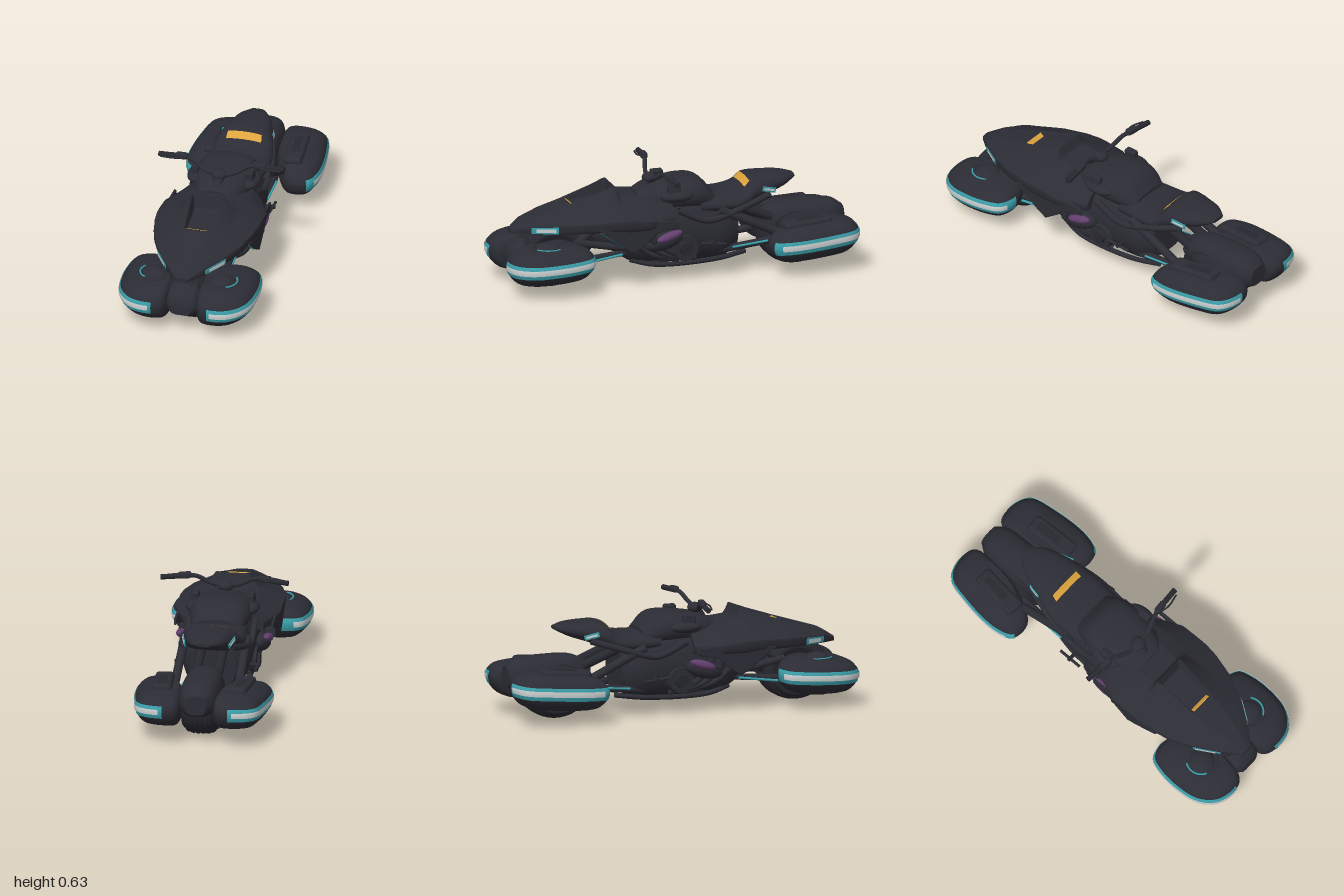
import * as THREE from 'three';
import { toCreasedNormals } from 'three/addons/utils/BufferGeometryUtils.js';
import { RoundedBoxGeometry } from 'three/addons/geometries/RoundedBoxGeometry.js';

const paint = (name, color) => Object.assign(new THREE.MeshStandardMaterial({ color, side: THREE.DoubleSide }), { name });
const V = (x, y, z) => new THREE.Vector3(x, y, z);

// Resample control rings into a fine grid of rows and columns
function makeGrid(sections, ringSub, rowSub, tension) {
  const rings = sections.map((pts) => {
    const curve = new THREE.CatmullRomCurve3(pts, true, 'catmullrom', tension);
    const n = pts.length * ringSub;
    return Array.from({ length: n }, (_, i) => curve.getPoint(i / n));
  });
  const cols = rings[0].map((_, j) => new THREE.CatmullRomCurve3(rings.map((r) => r[j]), false, 'catmullrom', tension));
  const n = (sections.length - 1) * rowSub;
  const rows = Array.from({ length: n + 1 }, (_, i) => cols.map((c) => c.getPoint(i / n)));
  return { rows, flip: false };
}

function gridGeometry(rows, flip, closed) {
  const C = rows[0].length, pts = rows.flat(), idx = [];
  const tri = (a, b, c) => (flip ? idx.push(a, c, b) : idx.push(a, b, c));
  for (let i = 0; i < rows.length - 1; i++)
    for (let j = 0; j < (closed ? C : C - 1); j++) {
      const k = (j + 1) % C, a = i * C + j, b = i * C + k;
      tri(a, b, a + C);
      tri(b, b + C, a + C);
    }
  if (closed) {
    for (const r of [0, rows.length - 1]) {
      const mid = V(0, 0, 0);
      rows[r].forEach((p) => mid.addScaledVector(p, 1 / C));
      const m = pts.push(mid) - 1;
      for (let j = 0; j < C; j++) {
        const a = r * C + j, b = r * C + (j + 1) % C;
        r ? tri(a, b, m) : tri(b, a, m);
      }
    }
  }
  const g = new THREE.BufferGeometry().setFromPoints(pts);
  g.setIndex(idx);
  g.computeVertexNormals();
  return g;
}

// Closed solid; the winding is turned so faces point outward
function solid(grid) {
  let g = gridGeometry(grid.rows, false, true), vol = 0;
  const p = g.attributes.position, id = g.index.array, t = [V(0, 0, 0), V(0, 0, 0), V(0, 0, 0)];
  for (let i = 0; i < id.length; i += 3) {
    t.forEach((v, k) => v.fromBufferAttribute(p, id[i + k]));
    vol += t[0].dot(t[1].clone().cross(t[2]));
  }
  grid.flip = vol < 0;
  if (grid.flip) g = gridGeometry(grid.rows, true, true);
  return toCreasedNormals(g, 0.65);
}

// Thin painted face lifted off part of a grid
function patch(grid, r0, r1, c0, c1, lift) {
  const g = gridGeometry(grid.rows.slice(r0, r1 + 1).map((r) => r.slice(c0, c1 + 1)), grid.flip, false);
  const p = g.attributes.position, n = g.attributes.normal;
  for (let i = 0; i < p.count; i++)
    p.setXYZ(i, p.getX(i) + n.getX(i) * lift, p.getY(i) + n.getY(i) * lift, p.getZ(i) + n.getZ(i) * lift);
  return g;
}

// Symmetric ring at depth z from a half profile, bottom centre to top centre
const ring = (z, half) => [...half, ...half.slice(1, -1).reverse().map(([x, y]) => [-x, y])].map(([x, y]) => V(x, y, z));
const roundRing = ([z, w, lo, hi]) => {
  const h = hi - lo;
  return ring(z, [[0, lo], [w * 0.7, lo + h * 0.06], [w, lo + h * 0.45], [w * 0.75, lo + h * 0.88], [0, hi]]);
};

export function createModel() {
  const model = new THREE.Group();
  model.name = 'hoverMotorcycle';
  const body = paint('charcoal body', 0x2c2c35), dark = paint('dark rubber', 0x27272f);
  const teal = paint('teal light', 0x3a9faa), white = paint('white light', 0xcdd3d3);
  const amber = paint('amber strip', 0xdda43c), purple = paint('purple cover', 0x633f6e);

  const add = (name, geo, mat, pos = [0, 0, 0], rot = [0, 0, 0], scale = [1, 1, 1]) => {
    const m = new THREE.Mesh(geo, mat);
    m.name = name;
    m.position.set(...pos);
    m.rotation.set(...rot);
    m.scale.set(...scale);
    model.add(m);
    return m;
  };
  const box = (name, size, mat, pos, rot, r = 0.01) => add(name, new RoundedBoxGeometry(...size, 3, r), mat, pos, rot);
  const ball = (name, mat, pos, scale, rot) => add(name, new THREE.SphereGeometry(1, 26, 14), mat, pos, rot, scale);
  const tube = (name, pts, r, mat) =>
    add(name, new THREE.TubeGeometry(new THREE.CatmullRomCurve3(pts.map((p) => V(...p))), 24, r, 10), mat);
  const rod = (name, a, b, r, mat) => {
    const from = V(...a), d = V(...b).sub(from);
    const m = add(name, new THREE.CylinderGeometry(r, r, d.length(), 14), mat, from.clone().addScaledVector(d, 0.5).toArray());
    m.quaternion.setFromUnitVectors(V(0, 1, 0), d.normalize());
  };
  const loft = (name, rows, mat) => {
    const grid = makeGrid(rows.map(roundRing), 4, 4, 0.5);
    add(name, solid(grid), mat);
    return grid;
  };

  // Front cowl with sunken intake: z, width, brow y, bottom y, shoulder x and y, ridge x and y, intake depth
  const cowl = makeGrid([
    [0.93, 0.03, 0.332, 0.315, 0.02, 0.337, 0.01, 0.34, 0], [0.85, 0.1, 0.362, 0.322, 0.07, 0.377, 0.035, 0.39, 0],
    [0.72, 0.185, 0.378, 0.33, 0.14, 0.4, 0.06, 0.428, 0], [0.604, 0.239, 0.387, 0.337, 0.165, 0.423, 0.073, 0.463, 0],
    [0.577, 0.248, 0.39, 0.338, 0.165, 0.428, 0.075, 0.472, 0.03], [0.45, 0.278, 0.398, 0.342, 0.165, 0.45, 0.082, 0.513, 0.06],
    [0.37, 0.287, 0.4, 0.34, 0.155, 0.467, 0.088, 0.543, 0.08], [0.355, 0.287, 0.4, 0.34, 0.155, 0.467, 0.088, 0.545, 0],
    [0.33, 0.287, 0.4, 0.335, 0.16, 0.46, 0.09, 0.49, 0], [0.2, 0.285, 0.385, 0.335, 0.18, 0.45, 0.1, 0.475, 0],
    [0.05, 0.22, 0.375, 0.335, 0.17, 0.43, 0.1, 0.46, 0],
  ].map(([z, w, ye, yb, mx, my, tx, ty, d]) =>
    ring(z, [[0, yb], [w * 0.96, yb], [w, ye], [mx, my], [tx, ty], [tx * 0.85, ty - d], [0, ty - d]])), 6, 6, 0.12);
  add('frontCowl', solid(cowl), body);
  for (const [c, d] of [[6, 1], [66, -1]]) {
    const cols = (a, b) => (d > 0 ? [c + a, c + b] : [c - b, c - a]);
    add('headlightRim', patch(cowl, 7, 13, ...cols(1, 5), 0.003), teal);
    add('headlightLens', patch(cowl, 8, 12, ...cols(2, 4), 0.006), white);
  }
  box('intakeStrip', [0.12, 0.006, 0.028], amber, [0, 0.4515, 0.588], [-0.67, 0, 0], 0.002);

  // Main hull, tank, seat tail and centre fenders: z, half width, bottom, top
  loft('engineHull', [[0.52, 0.08, 0.24, 0.34], [0.36, 0.16, 0.17, 0.4], [0.25, 0.19, 0.105, 0.45], [0.1, 0.19, 0.1, 0.47],
    [-0.1, 0.185, 0.09, 0.46], [-0.25, 0.175, 0.09, 0.42], [-0.34, 0.13, 0.13, 0.38]], body);
  loft('tank', [[0.22, 0.1, 0.38, 0.49], [0.14, 0.14, 0.37, 0.525], [0.04, 0.165, 0.38, 0.543], [-0.06, 0.17, 0.38, 0.552],
    [-0.14, 0.155, 0.37, 0.54], [-0.21, 0.13, 0.36, 0.47]], body);
  const seat = loft('seatTail', [[-0.12, 0.16, 0.34, 0.46], [-0.22, 0.17, 0.35, 0.45], [-0.32, 0.175, 0.35, 0.455], [-0.385, 0.165, 0.36, 0.48],
    [-0.43, 0.155, 0.38, 0.52], [-0.52, 0.13, 0.415, 0.525], [-0.62, 0.095, 0.45, 0.52], [-0.69, 0.04, 0.485, 0.505]], body);
  add('seatStrip', patch(seat, 12, 15, 13, 19, 0.004), amber);
  loft('frontFender', [[0.95, 0.06, 0.12, 0.2], [0.91, 0.09, 0.11, 0.25], [0.75, 0.095, 0.12, 0.32], [0.58, 0.09, 0.14, 0.33],
    [0.48, 0.07, 0.18, 0.32]], body);
  loft('rearFender', [[-0.5, 0.07, 0.2, 0.3], [-0.6, 0.1, 0.16, 0.345], [-0.75, 0.11, 0.15, 0.35], [-0.9, 0.1, 0.16, 0.34],
    [-0.97, 0.06, 0.19, 0.3]], body);

  // Ribbed wheels
  const tread = [[0.07, -0.07], [0.14, -0.095]];
  for (let i = 0; i <= 28; i++) {
    const u = i / 14 - 1;
    tread.push([0.2 - 0.045 * u ** 4 - (i % 4 === 2 ? 0.01 : 0), u * 0.098]);
  }
  tread.push([0.14, 0.095], [0.07, 0.07]);
  const wheelGeo = new THREE.LatheGeometry(tread.map(([r, y]) => new THREE.Vector2(r, y)), 48);
  for (const [name, z, y] of [['frontWheel', 0.7, 0.178], ['rearWheel', -0.69, 0.17]]) {
    add(name, wheelGeo, dark, [0, y, z], [0, 0, Math.PI / 2], [0.85, 1, 1]);
    add(name + 'Hub', new THREE.CylinderGeometry(0.075, 0.075, 0.17, 24), body, [0, y, z], [0, 0, Math.PI / 2]);
  }

  // Pods: plan outline swept through a rounded vertical profile, with upright inner walls
  const profile = [[0.064, 0.64], [0.08, 0.8], [0.118, 0.94], [0.162, 1], [0.198, 0.97], [0.23, 0.85], [0.252, 0.6]];
  const frontPlan = [[0.24, 0.53], [0.335, 0.552], [0.368, 0.62], [0.38, 0.74], [0.36, 0.88], [0.29, 0.97], [0.19, 0.998],
    [0.1, 0.97], [0.075, 0.85], [0.08, 0.68], [0.13, 0.57]];
  const rearPlan = [[0.325, -0.485], [0.362, -0.55], [0.372, -0.66], [0.355, -0.82], [0.32, -0.95], [0.22, -0.997],
    [0.11, -0.98], [0.09, -0.86], [0.105, -0.7], [0.165, -0.55], [0.23, -0.48]];
  function pod(name, plan, s, cx, cz, dy, end) {
    const grid = makeGrid(profile.map(([y, k]) => plan.map(([x, z]) => {
      const pz = cz + (z - cz) * k;
      return V(s * (cx + (x - cx) * k), y + dy - (pz - cz) * 0.06, pz);
    })), 6, 4, 0.5);
    add(name, solid(grid), body);
    add(name + 'Glow', patch(grid, 9, 16, 0, end, 0.003), teal);
    add(name + 'Light', patch(grid, 11, 14, 4, end - 1, 0.006), white);
  }
  for (const s of [-1, 1]) {
    pod('frontPod', frontPlan, s, 0.12, 0.77, 0.014, 38);
    pod('rearPod', rearPlan, s, 0.16, -0.74, 0.026, 32);
    // Hub dome, ring and lower cap on the front pod
    ball('podDome', body, [s * 0.19, 0.25, 0.77], [0.075, 0.044, 0.075]);
    add('podRing', new THREE.TorusGeometry(0.085, 0.009, 8, 36), body, [s * 0.19, 0.26, 0.77], [Math.PI / 2, 0, 0]);
    add('podRingGlow', new THREE.TorusGeometry(0.082, 0.005, 6, 24, 1.7), teal, [s * 0.19, 0.268, 0.77],
      [Math.PI / 2, 0, s > 0 ? -0.6 : 2.04]);
    add('podUnderCap', new THREE.CylinderGeometry(0.075, 0.06, 0.02, 28), dark, [s * 0.2, 0.078, 0.77]);
    // Raised rear pod deck
    box('rearPodDeck', [0.105, 0.05, 0.28], body, [s * 0.215, 0.275, -0.7], [0.06, s * 0.08, 0], 0.022);
    add('rearPodInset', new THREE.BoxGeometry(0.045, 0.008, 0.15), dark, [s * 0.215, 0.298, -0.72], [0.06, s * 0.08, 0]);
    // Tail lights
    box('tailLight', [0.008, 0.028, 0.085], teal, [s * 0.132, 0.457, -0.515], [-0.25, s * 0.25, 0], 0.002);
    box('tailLightCore', [0.008, 0.012, 0.065], white, [s * 0.135, 0.457, -0.515], [-0.25, s * 0.25, 0], 0.002);

    // Side fairing plate with lit inner edge
    const fairing = new THREE.Shape([[-0.5, 0.355], [-0.36, 0.25], [-0.3, 0.215], [-0.22, 0.27], [-0.17, 0.315], [-0.05, 0.34], [-0.06, 0.37], [-0.3, 0.39]]
      .map((p) => new THREE.Vector2(...p)));
    add('sideFairing', new THREE.ExtrudeGeometry(fairing, { depth: 0.008, bevelSize: 0.004, bevelThickness: 0.003, bevelSegments: 1 }),
      body, [s * 0.267 - 0.004, 0, 0], [0, Math.PI / 2, 0]);
    tube('fairingGlow', [[s * 0.256, 0.345, 0.485], [s * 0.257, 0.3, 0.425], [s * 0.254, 0.25, 0.36]], 0.008, teal);
    ball('sideCover', purple, [s * 0.24, 0.278, 0.09], [0.026, 0.024, 0.076], [0.3, 0, 0]);
    ball('sideHousing', body, [s * 0.2, 0.245, 0.11], [0.05, 0.05, 0.11], [0.25, 0, 0]);
    box('coverBracket', [0.06, 0.056, 0.03], body, [s * 0.238, 0.275, 0.185], [0.2, 0, 0], 0.012);

    // Engine covers, pipes and frame rails
    add('engineCover', new THREE.CylinderGeometry(0.07, 0.08, 0.04, 28), body, [s * 0.18, 0.19, -0.02], [0, 0, -s * Math.PI / 2]);
    add('engineCap', new THREE.CylinderGeometry(0.035, 0.04, 0.02, 20), dark, [s * 0.205, 0.19, -0.02], [0, 0, -s * Math.PI / 2]);
    for (let i = 0; i < 3; i++)
      tube('exhaustPipe', [[s * 0.13, 0.38, 0.3 - i * 0.06], [s * 0.19, 0.3, 0.3 - i * 0.07], [s * 0.18, 0.18, 0.2 - i * 0.06],
        [s * 0.16, 0.12, 0.02 - i * 0.05]], 0.016, body);
    tube('lowerRail', [[s * 0.12, 0.13, 0.28], [s * 0.15, 0.1, 0.15], [s * 0.15, 0.1, -0.2], [s * 0.12, 0.12, -0.38]], 0.014, body);
    tube('seatRail', [[s * 0.18, 0.4, 0.02], [s * 0.18, 0.33, -0.15], [s * 0.175, 0.37, -0.32], [s * 0.13, 0.43, -0.52]], 0.018, body);
    // Suspension arms
    rod('frontArm', [s * 0.13, 0.18, 0.28], [s * 0.13, 0.15, 0.6], 0.018, body);
    rod('frontArmGlow', [s * 0.147, 0.172, 0.33], [s * 0.15, 0.14, 0.56], 0.007, teal);
    rod('frontUpperArm', [s * 0.13, 0.2, 0.3], [s * 0.13, 0.26, 0.6], 0.02, body);
    rod('frontFork', [s * 0.1, 0.38, 0.4], [s * 0.12, 0.22, 0.62], 0.022, body);
    rod('upperSwingArm', [s * 0.17, 0.38, -0.22], [s * 0.175, 0.22, -0.56], 0.024, body);
    rod('lowerSwingArm', [s * 0.13, 0.14, -0.22], [s * 0.13, 0.18, -0.6], 0.02, body);
    rod('swingArmGlow', [s * 0.15, 0.155, -0.3], [s * 0.155, 0.175, -0.5], 0.006, teal);
    rod('damper', [s * 0.06, 0.4, -0.25], [s * 0.06, 0.28, -0.55], 0.026, dark);
    // Footrests
    rod('footPeg', [s * 0.16, 0.21, -0.17], [s * 0.235, 0.21, -0.17], 0.011, dark);
    rod('footLever', [s * 0.22, 0.2, -0.24], [s * 0.222, 0.215, -0.1], 0.008, body);

    // Tank shoulder pods and lobes
    box('tankShoulder', [0.04, 0.075, 0.07], body, [s * 0.155, 0.508, 0.04], [0, 0, s * 0.12], 0.01);
    ball('tankLobe', body, [s * 0.15, 0.475, 0.02], [0.053, 0.032, 0.095]);
    // Handlebars
    tube('handlebar', [[0, 0.556, 0.13], [s * 0.06, 0.558, 0.13], [s * 0.105, 0.577, 0.12], [s * 0.155, 0.606, 0.105],
      [s * 0.22, 0.612, 0.09], [s * 0.345, 0.6, 0.08]], 0.012, body);
    rod('grip', [s * 0.25, 0.607, 0.088], [s * 0.352, 0.599, 0.079], 0.015, dark);
    box('switchBox', [0.07, 0.034, 0.036], body, [s * 0.22, 0.613, 0.092], [0, s * 0.1, -s * 0.05], 0.01);
    tube('brakeLever', [[s * 0.2, 0.612, 0.11], [s * 0.26, 0.608, 0.12], [s * 0.335, 0.6, 0.105]], 0.005, body);
  }
  ball('handlebarClamp', body, [0, 0.55, 0.13], [0.045, 0.029, 0.04]);
  rod('steeringStem', [0, 0.55, 0.13], [0, 0.4, 0.22], 0.03, body);
  box('bellyPan', [0.22, 0.03, 0.5], body, [0, 0.108, -0.03], [0, 0, 0], 0.012);
  return model;
}
